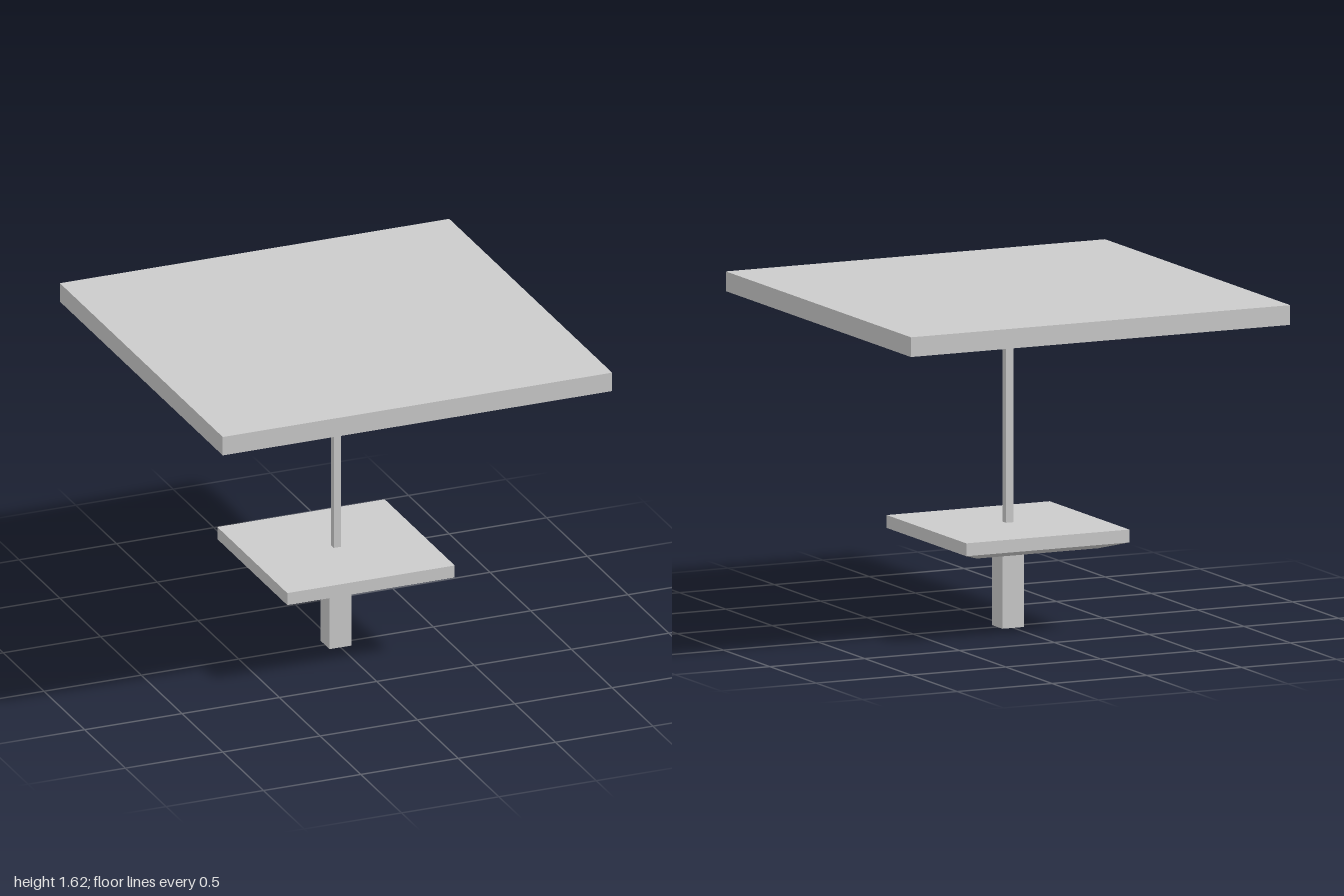
import * as THREE from 'three';

const material = new THREE.MeshStandardMaterial({ color: 0xcccccc, flatShading: true });

// Square solid from a profile of [half width, height] pairs, bottom to top
function squareTurned(name, profile) {
  const points = profile.map(([half, y]) => new THREE.Vector2(half * Math.SQRT2, y));
  const mesh = new THREE.Mesh(new THREE.LatheGeometry(points, 4, Math.PI / 4), material);
  mesh.name = name;
  return mesh;
}

// Square block centred on the axis, from y0 to y1
function block(name, width, y0, y1) {
  const mesh = new THREE.Mesh(new THREE.BoxGeometry(width, y1 - y0, width), material);
  mesh.position.y = (y0 + y1) / 2;
  mesh.name = name;
  return mesh;
}

export function createModel() {
  const group = new THREE.Group();
  group.name = 'canopyTable';

  group.add(
    block('basePost', 0.114, 0, 0.37),
    // Slab with a tapered underside and a barely raised centre
    squareTurned('tableTop', [
      [0, 0.368], [0.057, 0.368], [0.32, 0.4], [0.43, 0.437],
      [0.43, 0.499], [0.28, 0.501], [0, 0.501],
    ]),
    block('pole', 0.038, 0.5, 1.53),
    block('canopy', 2, 1.53, 1.625),
  );
  return group;
}
